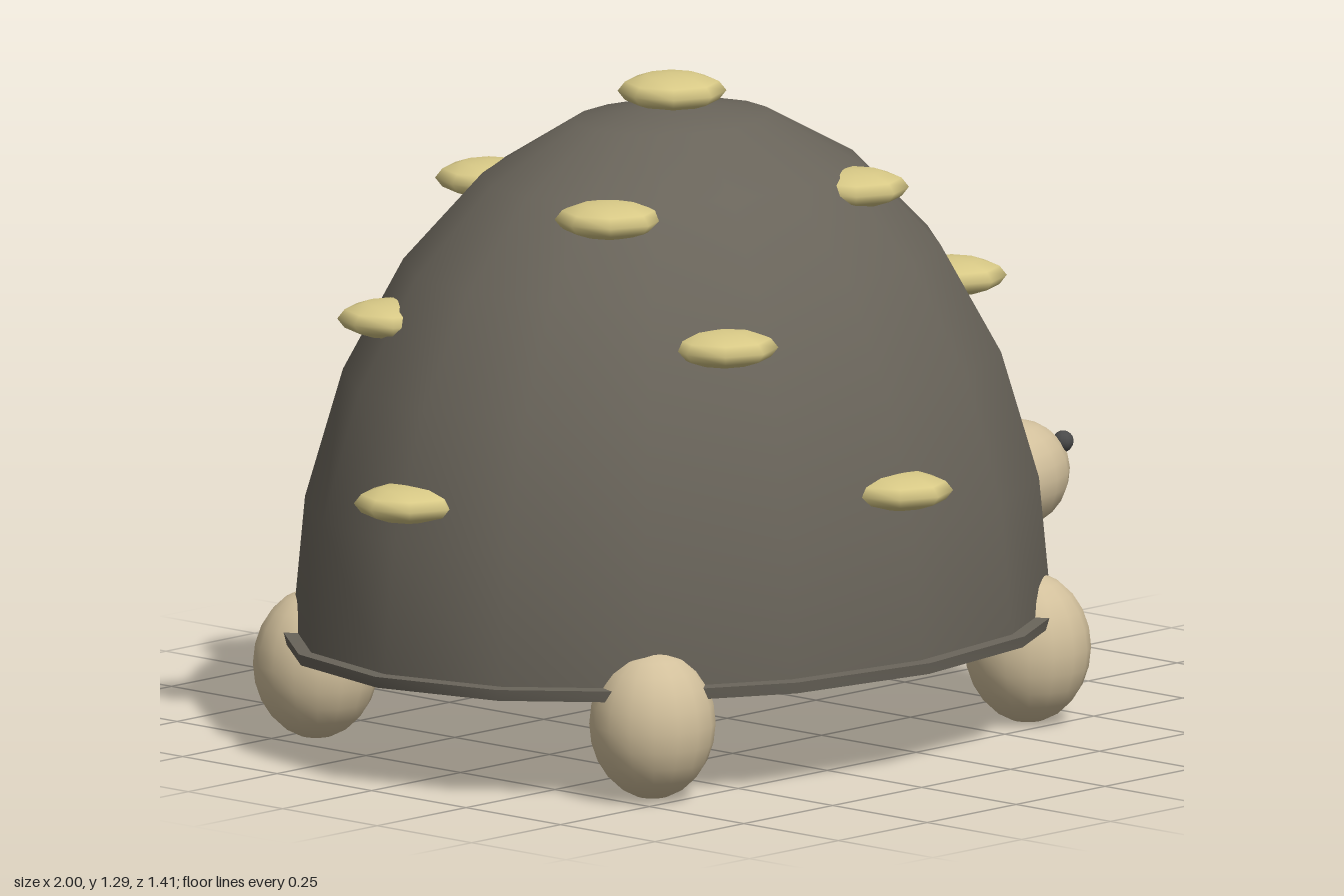
import * as THREE from 'three';
import { toCreasedNormals } from 'three/addons/utils/BufferGeometryUtils.js';

const material = (name, color) => new THREE.MeshStandardMaterial({ name, color });

export function createModel() {
  const model = new THREE.Group();
  model.name = 'turtle';
  const shellGrey = material('shell grey', 0x69645a);
  const skinBeige = material('skin beige', 0xd2c09c);
  const spotYellow = material('spot yellow', 0xd8c986);
  const eyeGrey = material('eye grey', 0x4a4a4a);

  const add = (name, geometry, mat, x, y, z, parent = model) => {
    const mesh = new THREE.Mesh(geometry, mat);
    mesh.name = name;
    mesh.position.set(x, y, z);
    parent.add(mesh);
    return mesh;
  };
  const cx = -0.155; // middle of the shell

  // Domed shell: upper half of a stretched sphere
  const dome = new THREE.SphereGeometry(1, 16, 6, 0, Math.PI * 2, 0, Math.PI / 2);
  add('shellDome', dome, shellGrey, cx, 0.21, 0).scale.set(0.81, 1.03, 0.66);

  // Shallow belly with a thin projecting rim
  const profile = [[0, 0.145], [0.41, 0.155], [0.7, 0.178], [0.83, 0.2], [0.835, 0.222], [0.77, 0.226]]
    .map(([r, y]) => new THREE.Vector2(r, y));
  const belly = toCreasedNormals(new THREE.LatheGeometry(profile, 16), 0.7);
  add('bellyAndRim', belly, shellGrey, cx, 0, 0).scale.z = 0.82;

  // Flattened spots in rings around the dome
  const spots = new THREE.Group();
  spots.name = 'shellSpots';
  model.add(spots);
  const spotGeometry = new THREE.SphereGeometry(0.105, 8, 6);
  const addSpot = (x, y, z) => add('shellSpot', spotGeometry, spotYellow, x, y, z, spots).scale.y = 0.34;
  addSpot(cx, 1.255, 0);
  const rings = [[0.55, 0.742, 0.6, 0], [0.85, 0.61, 0.49, 30], [1.075, 0.41, 0.335, 60]];
  for (const [y, rx, rz, start] of rings) {
    for (let i = 0; i < 4; i++) {
      const a = THREE.MathUtils.degToRad(start + i * 90);
      addSpot(cx + rx * Math.cos(a), y, rz * Math.sin(a));
    }
  }

  // Four egg-shaped feet
  const footGeometry = new THREE.SphereGeometry(1, 16, 12);
  for (const sx of [-1, 1]) {
    for (const sz of [-1, 1]) {
      add('foot', footGeometry, skinBeige, cx + sx * 0.528, 0.147, sz * 0.445).scale.set(0.122, 0.147, 0.122);
    }
  }

  // Neck reaching from the shell to the head
  const from = new THREE.Vector3(0.5, 0.285, 0.015);
  const to = new THREE.Vector3(0.8, 0.34, -0.045);
  const neckGeometry = new THREE.CylinderGeometry(0.08, 0.084, from.distanceTo(to), 16);
  const neck = add('neck', neckGeometry, skinBeige, 0, 0, 0);
  neck.position.lerpVectors(from, to, 0.5);
  neck.quaternion.setFromUnitVectors(new THREE.Vector3(0, 1, 0), to.clone().sub(from).normalize());

  // Head turned slightly aside, with two small eyes
  const head = add('head', new THREE.SphereGeometry(1, 16, 12), skinBeige, 0.862, 0.348, -0.062);
  head.scale.set(0.137, 0.107, 0.107);
  head.rotation.set(0, 0.2, 0.06);
  const eyeGeometry = new THREE.SphereGeometry(0.021, 10, 8);
  add('leftEye', eyeGeometry, eyeGrey, 0.926, 0.405, -0.155);
  add('rightEye', eyeGeometry, eyeGrey, 0.963, 0.405, -0.017);

  return model;
}
